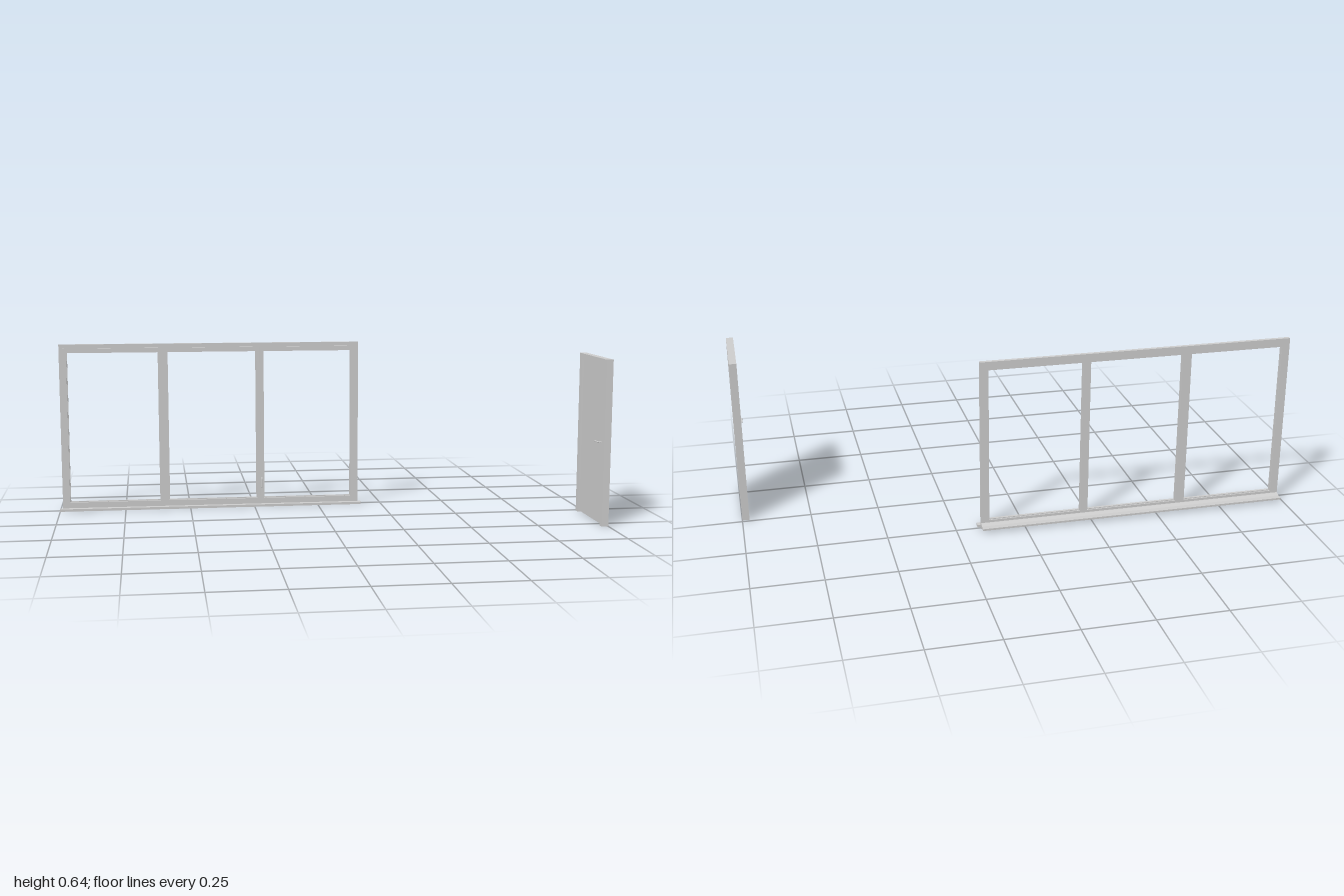
import * as THREE from 'three';

const mat = new THREE.MeshStandardMaterial({ color: 0xcccccc, flatShading: true });

function add(parent, name, geo) {
  const m = new THREE.Mesh(geo, mat);
  m.name = name;
  parent.add(m);
  return m;
}

// Box given by its minimum and maximum corners
function box(parent, name, a, b) {
  const m = add(parent, name, new THREE.BoxGeometry(b[0] - a[0], b[1] - a[1], b[2] - a[2]));
  m.position.set((a[0] + b[0]) / 2, (a[1] + b[1]) / 2, (a[2] + b[2]) / 2);
  return m;
}

function rect(path, x0, y0, x1, y1) {
  path.moveTo(x0, y0);
  path.lineTo(x1, y0);
  path.lineTo(x1, y1);
  path.lineTo(x0, y1);
  path.closePath();
  return path;
}

// Rectangular plate with rectangular openings, extruded from z0 to z1
function frame(parent, name, outer, holes, z0, z1) {
  const shape = rect(new THREE.Shape(), ...outer);
  holes.forEach((h) => shape.holes.push(rect(new THREE.Path(), ...h)));
  const geo = new THREE.ExtrudeGeometry(shape, { depth: z1 - z0, bevelEnabled: false });
  geo.translate(0, 0, z0);
  return add(parent, name, geo);
}

// Bent bar through a few points
function bar(parent, name, points, r) {
  const curve = new THREE.CatmullRomCurve3(points.map((p) => new THREE.Vector3(...p)), false, 'catmullrom', 0.2);
  add(parent, name, new THREE.TubeGeometry(curve, 16, r, 8));
  for (const p of [points[0], points[points.length - 1]]) {
    add(parent, name + 'End', new THREE.SphereGeometry(r, 8, 6)).position.set(...p);
  }
}

// Three-light window; x is measured from the window's own centre
function createWindow() {
  const win = new THREE.Group();
  win.name = 'window';
  const half = 0.575, top = 0.642;
  const bays = [[-0.547, -0.199], [-0.167, 0.176], [0.202, 0.546]];
  const y0 = 0.032, y1 = 0.612;

  frame(win, 'windowFrame', [-half, 0, half, top],
    bays.map(([a, b]) => [a, y0, b, y1]), -0.007, 0.007);

  // Sashes standing proud of the frame, slim gaps between them
  bays.forEach(([a, b]) => {
    frame(win, 'sash', [a - 0.012, 0.018, b + 0.012, 0.627], [[a, y0, b, y1]], 0.007, 0.0135);
    frame(win, 'glazingBead', [a - 0.001, y0 - 0.001, b + 0.001, y1 + 0.001],
      [[a + 0.003, y0 + 0.003, b - 0.003, y1 - 0.003]], -0.002, 0.004);
  });

  // Inner board
  box(win, 'innerSill', [-0.585, 0, 0.007], [0.585, 0.009, 0.028]);

  // Sloping outer sill, section in (distance behind frame, height)
  const s = new THREE.Shape();
  [[0, 0.009], [0.036, 0.009], [0.036, 0.016], [0.016, 0.017], [0.003, 0.023], [0, 0.023]]
    .forEach(([x, y], i) => (i ? s.lineTo(x, y) : s.moveTo(x, y)));
  const sill = new THREE.ExtrudeGeometry(s, { depth: 2 * half, bevelEnabled: false });
  sill.rotateY(Math.PI / 2);
  sill.translate(-half, 0, -0.007);
  add(win, 'outerSill', sill);

  // Handle on the sash
  box(win, 'windowHandlePlate', [0.19, 0.100, 0.0135], [0.198, 0.122, 0.0155]);
  bar(win, 'windowHandle', [[0.194, 0.114, 0.014], [0.194, 0.114, 0.022],
    [0.194, 0.108, 0.0255], [0.194, 0.078, 0.026]], 0.002);

  win.position.set(-0.415, 0, -0.255);
  win.rotation.y = -0.007;
  return win;
}

// Door standing in the yz plane, handle on its -x side
function createDoor() {
  const door = new THREE.Group();
  door.name = 'door';
  const x0 = 0.974, x1 = 1.0;
  // Jambs and head
  box(door, 'hingeJamb', [x0, 0, 0.01], [x1, 0.611, 0.034]);
  box(door, 'latchJamb', [x0, 0, 0.277], [x1, 0.611, 0.301]);
  box(door, 'doorHead', [x0, 0.589, 0.034], [x1, 0.611, 0.277]);
  // Leaf, nearly flush on the +x side and recessed on the other
  box(door, 'doorLeaf', [0.982, 0.003, 0.0355], [0.9995, 0.5875, 0.2765]);
  // Stop strips closing the gaps
  box(door, 'hingeStop', [0.983, 0.003, 0.034], [0.995, 0.589, 0.0355]);
  box(door, 'headStop', [0.983, 0.5875, 0.034], [0.995, 0.589, 0.277]);

  // Lever handle with plate
  box(door, 'handlePlate', [0.980, 0.285, 0.252], [0.982, 0.318, 0.262]);
  bar(door, 'doorHandle', [[0.981, 0.305, 0.257], [0.971, 0.305, 0.257],
    [0.9685, 0.305, 0.252], [0.9685, 0.305, 0.216]], 0.0025);
  return door;
}

export function createModel() {
  const model = new THREE.Group();
  model.name = 'windowAndDoor';
  model.add(createWindow(), createDoor());
  return model;
}
